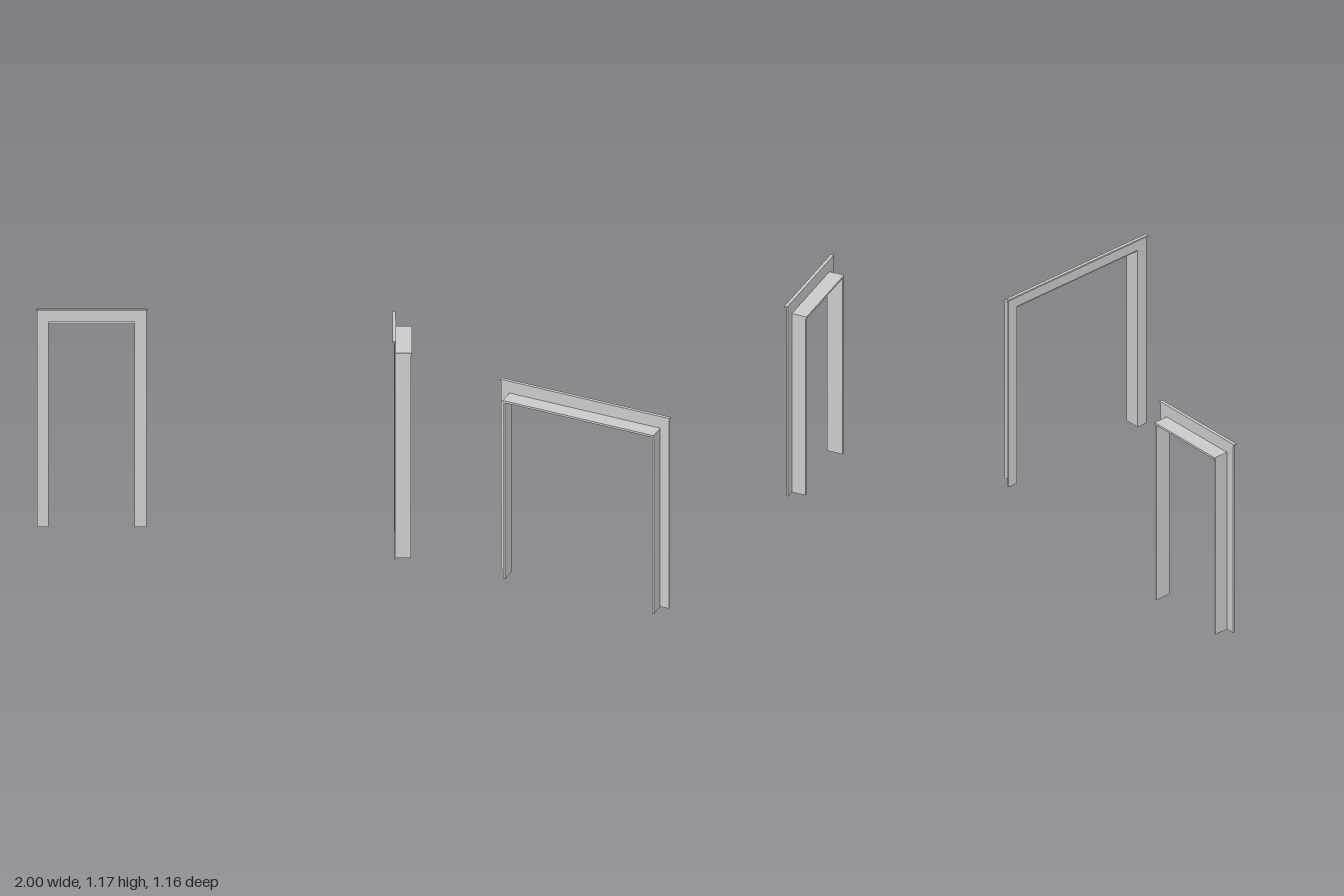
import * as THREE from 'three';

const material = new THREE.MeshStandardMaterial({ color: 0xcccccc, flatShading: true });

// Box given by its limits on each axis
function slab(name, [x0, x1], [y0, y1], [z0, z1]) {
  const geometry = new THREE.BoxGeometry(x1 - x0, y1 - y0, z1 - z0);
  geometry.translate((x0 + x1) / 2, (y0 + y1) / 2, (z0 + z1) / 2);
  const mesh = new THREE.Mesh(geometry, material);
  mesh.name = name;
  return mesh;
}

// Door frame facing +z; the back of its casing lies on z = 0
function doorFrame(name, liningWidth) {
  const frame = new THREE.Group();
  frame.name = name;
  const outer = liningWidth / 2;
  const board = 0.012;
  const inner = outer - board;
  const casing = outer + 0.05;
  const headTop = 1.103;
  const headBottom = headTop - board;
  const casingTop = 1.166;

  // Flat casing around the opening
  const shape = new THREE.Shape([
    [-casing, 0], [-inner, 0], [-inner, headTop], [inner, headTop],
    [inner, 0], [casing, 0], [casing, casingTop], [-casing, casingTop],
  ].map(([x, y]) => new THREE.Vector2(x, y)));
  const trim = new THREE.Mesh(
    new THREE.ExtrudeGeometry(shape, { depth: 0.009, bevelEnabled: false }), material);
  trim.name = 'casing';
  frame.add(trim);

  // Thin cap along the top of the casing
  const cap = casing + 0.006;
  frame.add(slab('cap', [-cap, cap], [casingTop, 1.175], [0, 0.018]));

  // Lining boards behind the casing; the head is slightly deeper than the jambs
  frame.add(slab('headLining', [-outer, outer], [headBottom, headTop], [-0.086, 0]));
  frame.add(slab('leftJamb', [inner, outer], [0, headBottom], [-0.081, 0]));
  frame.add(slab('rightJamb', [-outer, -inner], [0, headBottom], [-0.081, 0]));
  return frame;
}

export function createModel() {
  const model = new THREE.Group();
  model.name = 'doorFrames';

  const narrow = doorFrame('narrowDoorFrame', 0.481);
  narrow.position.set(-0.703, 0, -0.495);
  model.add(narrow);

  // Wide frame turned to face -x
  const wide = doorFrame('wideDoorFrame', 0.881);
  wide.rotation.y = -Math.PI / 2;
  wide.position.set(0.912, 0, 0.086);
  model.add(wide);

  return model;
}
